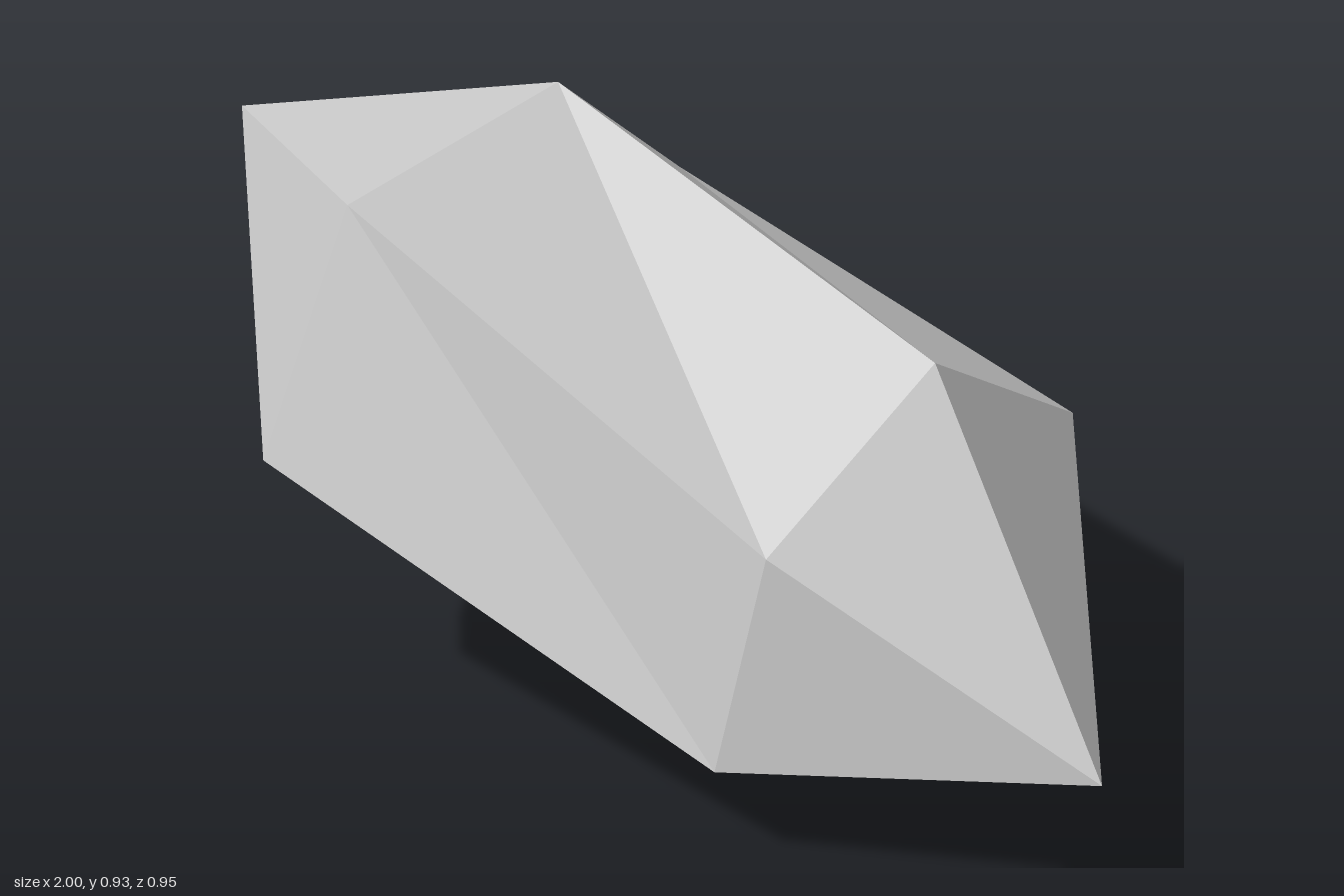
import * as THREE from 'three';

// Faceted crystal shard: two pointed caps joined by a six-sided twisted body.
const leftTip = [1, 0.225, 0.07];
const rightTip = [-1, 0.68, -0.09];

// Six corners per ring, running top, front, bottom, back.
const leftRing = [
  [0.53, 0.77, -0.05], [0.495, 0.543, 0.308], [0.43, 0.16, 0.358],
  [0.41, 0, -0.03], [0.44, 0.155, -0.406], [0.497, 0.534, -0.408],
];
const rightRing = [
  [-0.365, 0.925, -0.14], [-0.368, 0.89, 0.35], [-0.437, 0.457, 0.472],
  [-0.48, 0.18, 0.145], [-0.47, 0.2, -0.315], [-0.41, 0.63, -0.475],
];

function facets(triangles) {
  const geometry = new THREE.BufferGeometry();
  geometry.setAttribute('position', new THREE.Float32BufferAttribute(triangles.flat(2), 3));
  geometry.computeVertexNormals();
  return geometry;
}

export function createModel() {
  const stone = new THREE.MeshStandardMaterial({ color: 0xcccccc });
  stone.name = 'palegrey stone';
  stone.flatShading = true;

  const leftCap = [], rightCap = [], body = [];
  for (let i = 0; i < 6; i++) {
    const j = (i + 1) % 6;
    leftCap.push([leftTip, leftRing[i], leftRing[j]]);
    rightCap.push([rightTip, rightRing[j], rightRing[i]]);
    // Each side is split along the same diagonal
    body.push([rightRing[i], rightRing[j], leftRing[j]]);
    body.push([rightRing[i], leftRing[j], leftRing[i]]);
  }

  const group = new THREE.Group();
  group.name = 'crystal';
  for (const [name, triangles] of Object.entries({ leftCap, rightCap, body })) {
    const mesh = new THREE.Mesh(facets(triangles), stone);
    mesh.name = name;
    group.add(mesh);
  }
  return group;
}
